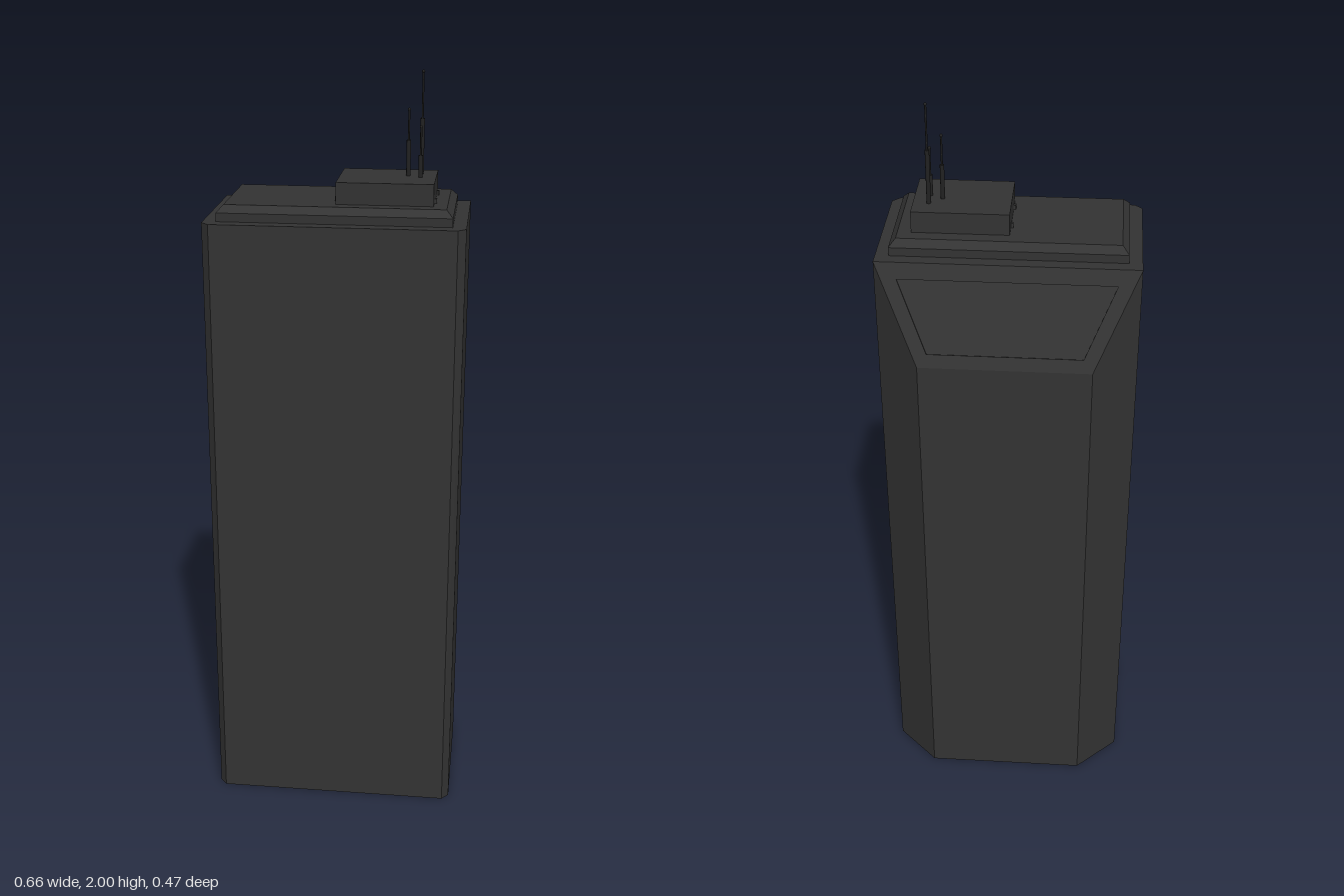
import * as THREE from 'three';

const dark = new THREE.MeshStandardMaterial({ color: 0x333333 });
const darker = new THREE.MeshStandardMaterial({ color: 0x222222 });

// Flat-faced geometry from convex polygons, corners counter-clockwise from outside
function fromFaces(faces) {
  const pos = [];
  for (const f of faces)
    for (let i = 1; i < f.length - 1; i++) pos.push(...f[0], ...f[i], ...f[i + 1]);
  const g = new THREE.BufferGeometry();
  g.setAttribute('position', new THREE.Float32BufferAttribute(pos, 3));
  g.computeVertexNormals();
  return g;
}

// Quads joining successive rings of equal length
function loft(rings) {
  const faces = [];
  for (let r = 0; r < rings.length - 1; r++) {
    const a = rings[r], b = rings[r + 1], n = a.length;
    for (let i = 0; i < n; i++) {
      const j = (i + 1) % n;
      faces.push([a[i], a[j], b[j], b[i]]);
    }
  }
  return faces;
}

const rect = (x, z0, z1, y) => [[x, y, z1], [x, y, z0], [-x, y, z0], [-x, y, z1]];

function add(parent, name, geometry, material, x = 0, y = 0, z = 0) {
  const m = new THREE.Mesh(geometry, material);
  m.name = name;
  m.position.set(x, y, z);
  parent.add(m);
  return m;
}

// Cabinet outline: chamfered front corners, tapered back with a sloping top
function bodyGeometry() {
  const outline = (cx, cz, f, y, yBack) => [
    [0.33, y, cz], [0.33, y, -0.13], [0.218, yBack, -0.236], [-0.218, yBack, -0.236],
    [-0.33, y, -0.13], [-0.33, y, cz], [-cx, y, f], [cx, y, f]];
  const bottom = outline(0.312, 0.216, 0.236, 0, 0);
  const top = outline(0.31, 0.212, 0.232, 1.645, 1.41);
  const faces = loft([bottom, top]);
  faces.push([...bottom].reverse());
  faces.push([0, 1, 4, 5, 6, 7].map(i => top[i]));

  // Slope with a shallow recessed panel
  const slope = top.slice(1, 5);
  const inner = [[0.272, -0.147], [0.195, -0.222], [-0.195, -0.222], [-0.272, -0.147]]
    .map(([x, z]) => [x, 1.645 + (z + 0.13) * (0.235 / 0.106), z]);
  const floor = inner.map(([x, y, z]) => [x, y - 0.002, z + 0.0045]);
  faces.push(...loft([slope, inner, floor]), floor);
  return fromFaces(faces);
}

// Stepped aerial: thick base, thin whip, rounded tip
function antenna(x, z, baseH, height) {
  const g = new THREE.Group();
  g.name = 'antenna';
  add(g, 'antennaBase', new THREE.CylinderGeometry(0.0055, 0.0055, baseH, 12), darker, 0, baseH / 2);
  add(g, 'antennaWhip', new THREE.CylinderGeometry(0.0025, 0.0025, height - baseH - 0.004, 8), darker,
    0, (height + baseH - 0.004) / 2);
  add(g, 'antennaTip', new THREE.SphereGeometry(0.004, 10, 8), darker, 0, height - 0.004);
  g.position.set(x, 1.74, z);
  return g;
}

export function createModel() {
  const model = new THREE.Group();
  model.name = 'cabinet';
  add(model, 'body', bodyGeometry(), dark);

  // Bevelled roof plinth
  const roofTop = rect(0.279, -0.08, 0.18, 1.685);
  add(model, 'roofPlinth', fromFaces([
    ...loft([rect(0.296, -0.097, 0.198, 1.645), rect(0.296, -0.097, 0.198, 1.667), roofTop]),
    roofTop]), dark);

  // Equipment box with mounting tabs
  add(model, 'equipmentBox', new THREE.BoxGeometry(0.245, 0.055, 0.194), dark, 0.1225, 1.7125, 0.051);
  for (const x of [-0.003, 0.248])
    for (const z of [0, 0.104])
      add(model, 'mountingTab', new THREE.BoxGeometry(0.006, 0.012, 0.01), dark, x, 1.691, z);

  // Aerials: x, z, base height, full height
  for (const a of [[0.205, 0.008, 0.14, 0.26], [0.173, 0.037, 0.09, 0.17], [0.205, 0.054, 0.055, 0.13]])
    model.add(antenna(...a));
  return model;
}
